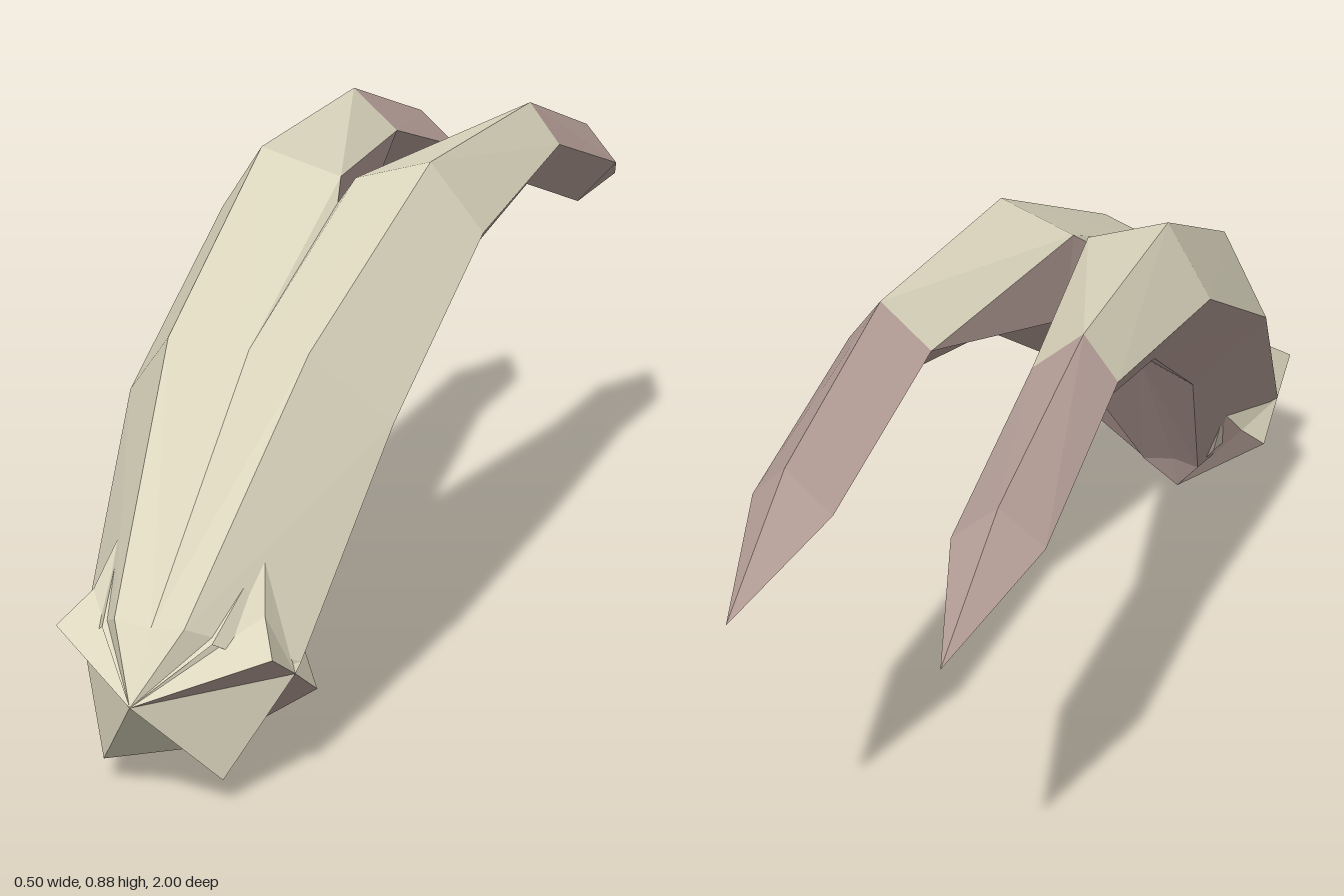
import * as THREE from 'three';

const cream = new THREE.MeshStandardMaterial({ color: 0xdcd6be, side: THREE.DoubleSide });
cream.name = 'cream';
const mauve = new THREE.MeshStandardMaterial({ color: 0xb8a19a, side: THREE.DoubleSide });
mauve.name = 'mauve';

// Flat-shaded mesh from polygons on the +x side, mirrored to -x
function mirroredMesh(name, material, polygons) {
  const pos = [];
  for (const poly of polygons) {
    for (let i = 1; i < poly.length - 1; i++) {
      const tri = [poly[0], poly[i], poly[i + 1]];
      for (const p of tri) pos.push(...p);
      for (const p of tri.reverse()) pos.push(-p[0], p[1], p[2]);
    }
  }
  const geo = new THREE.BufferGeometry();
  geo.setAttribute('position', new THREE.Float32BufferAttribute(pos, 3));
  geo.computeVertexNormals();
  const mesh = new THREE.Mesh(geo, material);
  mesh.name = name;
  return mesh;
}

// Quads joining consecutive sections, for the facets from..to of each section
function strips(rings, from, to) {
  const out = [];
  for (let r = 0; r < rings.length - 1; r++) {
    const a = rings[r], b = rings[r + 1];
    for (let i = from; i < to; i++) out.push([a[i], a[i + 1], b[i + 1], b[i]]);
  }
  return out;
}

export function createModel() {
  const group = new THREE.Group();
  group.name = 'twoTailedCreature';

  // Head key points
  const nose = [0, 0.2, 1], side = [0.188, 0.2, 0.79], throat = [0, 0, 0.7], jaw = [0.105, 0.045, 0.89];

  // Half sections: centre top, ridge, outer edge, lower ridge, centre bottom
  const s0 = [nose, nose, side, throat, throat];
  const s1 = [[0, 0.3, 0.92], [0.06, 0.31, 0.925], [0.192, 0.215, 0.775], [0.06, 0.08, 0.65], [0, 0.08, 0.67]];
  const s2 = [[0, 0.64, 0.53], [0.125, 0.66, 0.575], [0.24, 0.53, 0.49], [0.125, 0.41, 0.39], [0, 0.44, 0.42]];
  const s3 = [[0.014, 0.83, 0.09], [0.16, 0.875, 0.105], [0.25, 0.75, 0.08], [0.16, 0.635, 0.04], [0.014, 0.68, 0.05]];
  const inner4 = [0.09, 0.805, -0.39];
  const s4 = [inner4, [0.18, 0.882, -0.39], [0.24, 0.805, -0.39], [0.18, 0.725, -0.38], inner4];
  const inner5 = [0.1, 0.69, -0.77];
  const s5 = [inner5, [0.18, 0.76, -0.77], [0.25, 0.69, -0.75], [0.18, 0.61, -0.72], inner5];
  const tip = [0.177, 0.605, -1];
  const s6 = [tip, tip, tip, tip, tip];

  // Fork between the tails
  const forkTop = [0, 0.795, 0.14], forkBottom = [0, 0.69, 0.12];

  const body = [s0, s1, s2, s3, s4];
  group.add(mirroredMesh('back', cream, [
    ...strips(body, 0, 2),
    [s2[0], s3[0], forkTop],
  ]));
  group.add(mirroredMesh('belly', mauve, [
    ...strips(body, 2, 4),
    [s2[4], forkBottom, s3[4]],
    [forkTop, s3[0], s3[4], forkBottom],
    [s3[0], inner4, s3[4]],
  ]));
  group.add(mirroredMesh('tailTips', mauve, strips([s4, s5, s6], 0, 4)));

  // Face and jaw
  group.add(mirroredMesh('face', cream, [[nose, jaw, side], [nose, throat, jaw]]));
  group.add(mirroredMesh('jawUnderside', mauve, [[side, jaw, throat]]));

  // Upper horns: spiked brow fins
  const browCorner = [0.188, 0.26, 0.88], browNotch = [0.15, 0.305, 0.82];
  const browTip = [0.125, 0.39, 0.76], browRoot = [0.095, 0.28, 0.9];
  group.add(mirroredMesh('upperHorns', cream, [
    [nose, browCorner, browNotch], [nose, browNotch, browTip], [nose, browTip, browRoot],
    [browCorner, side, browNotch], [browNotch, side, browTip], [browTip, side, browRoot],
  ]));
  group.add(mirroredMesh('browUnderside', mauve, [[nose, side, browCorner]]));

  // Lower horns: matching fins behind the jaw
  const finCorner = [0.188, 0.135, 0.7], finNotch = [0.15, 0.18, 0.66];
  const finTip = [0.125, 0.24, 0.61], finRoot = [0.095, 0.13, 0.645];
  group.add(mirroredMesh('lowerHornUndersides', mauve, [
    [throat, finNotch, finCorner], [throat, finTip, finNotch], [throat, finRoot, finTip],
    [side, throat, finCorner],
  ]));
  group.add(mirroredMesh('lowerHornTops', cream, [
    [side, finCorner, finNotch], [side, finNotch, finTip], [side, finTip, finRoot],
  ]));

  return group;
}
